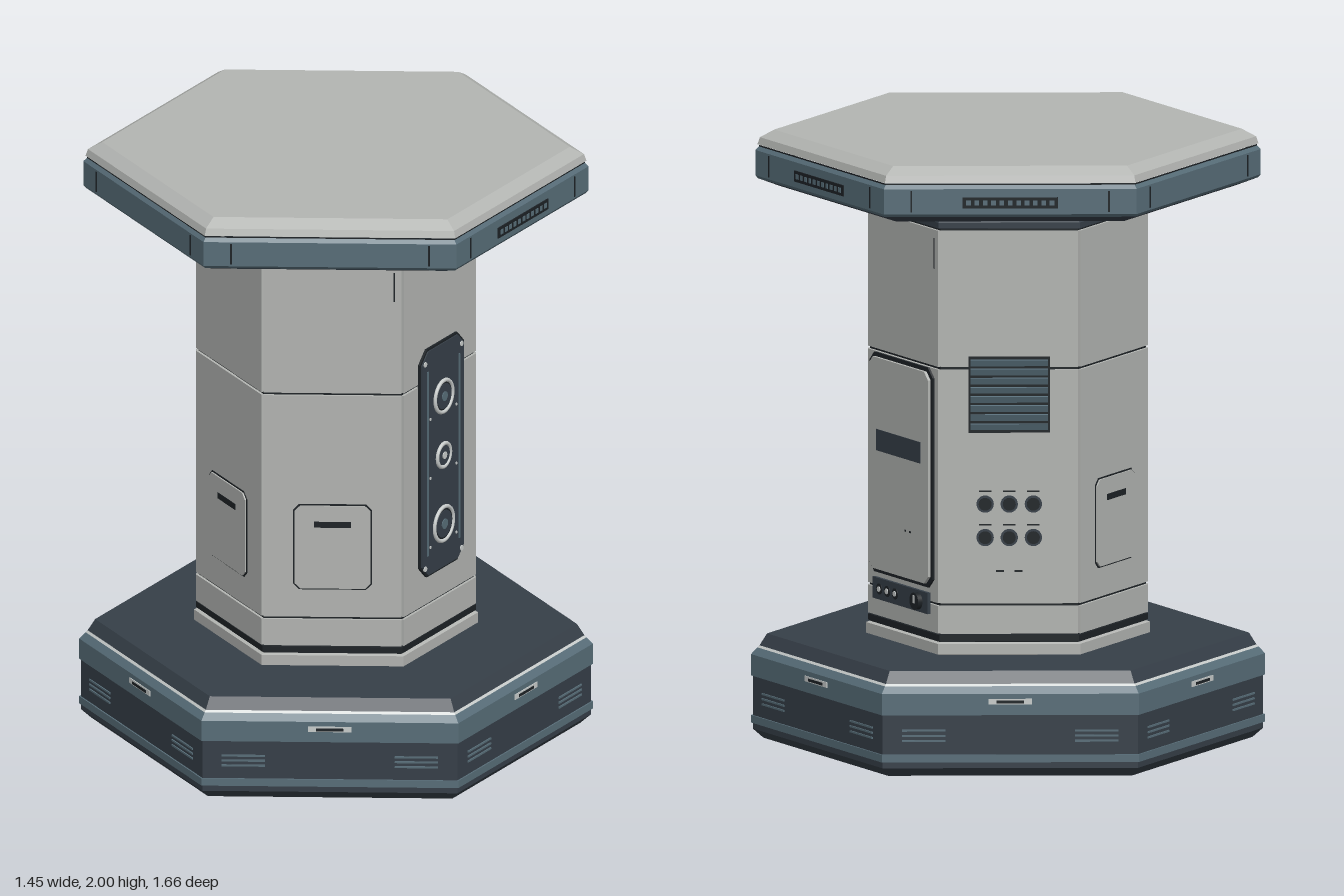
import * as THREE from 'three';

const mat = (name, color) => {
  const m = new THREE.MeshStandardMaterial({ color });
  m.name = name;
  return m;
};

export function createModel() {
  const root = new THREE.Group();
  root.name = 'hexagonalPedestal';
  const light = mat('pale grey', 0xb3b5b2);
  const slate = mat('slate blue', 0x586e79);
  const dark = mat('dark slate', 0x363f48);
  const black = mat('near black', 0x1d2226);
  const silver = mat('silver', 0xc9cdcc);

  const add = (parent, name, geo, material, x = 0, y = 0, z = 0) => {
    const m = new THREE.Mesh(geo, material);
    m.name = name;
    m.position.set(x, y, z);
    parent.add(m);
    return m;
  };

  // Six-sided ring from [apothem, y] points, bottom to top, with crisp edges
  const hex = (name, material, pts) => {
    const k = 1 / Math.cos(Math.PI / 6);
    const geo = new THREE.LatheGeometry(pts.map(([a, y]) => new THREE.Vector2(a * k, y)), 6).toNonIndexed();
    geo.computeVertexNormals();
    return add(root, name, geo, material);
  };

  // Group on one side: local x runs along the face, local z points outwards
  const side = (name, degrees, apothem) => {
    const pivot = new THREE.Group();
    pivot.name = name;
    pivot.rotation.y = THREE.MathUtils.degToRad(degrees);
    const g = new THREE.Group();
    g.name = name + 'Surface';
    g.position.z = apothem;
    pivot.add(g);
    root.add(pivot);
    return g;
  };

  // Box sitting on a face, from depth z to z + d
  const box = (p, name, material, x, y, w, h, d, z = 0) =>
    add(p, name, new THREE.BoxGeometry(w, h, d), material, x, y, z + d / 2);

  // Plate with cut corners
  const plate = (p, name, material, y, w, h, cut, d, z = 0) => {
    const a = w / 2, b = h / 2;
    const s = new THREE.Shape([[-a + cut, -b], [a - cut, -b], [a, -b + cut], [a, b - cut],
      [a - cut, b], [-a + cut, b], [-a, b - cut], [-a, -b + cut]].map(q => new THREE.Vector2(...q)));
    return add(p, name, new THREE.ExtrudeGeometry(s, { depth: d, bevelEnabled: false }), material, 0, y, z);
  };

  // Round knob or disc facing outwards
  const disc = (p, name, material, x, y, r, d, z = 0) => {
    const m = add(p, name, new THREE.CylinderGeometry(r, r, d, 24), material, x, y, z + d / 2);
    m.rotation.x = Math.PI / 2;
    return m;
  };

  // Base
  hex('baseSkirt', dark, [[0, 0], [0.685, 0], [0.715, 0.03], [0.715, 0.05]]);
  hex('baseLowerBand', slate, [[0.714, 0.05], [0.72, 0.05], [0.72, 0.075], [0.714, 0.075]]);
  hex('basePanel', dark, [[0.715, 0.075], [0.715, 0.205]]);
  hex('baseUpperBand', slate, [[0.714, 0.205], [0.72, 0.205], [0.72, 0.275], [0.702, 0.297]]);
  hex('baseTrim', silver, [[0.702, 0.297], [0.696, 0.304]]);
  hex('baseTop', dark, [[0.696, 0.304], [0.675, 0.343], [0, 0.343]]);

  // Column core and collars
  hex('columnFoot', light, [[0.38, 0.34], [0.398, 0.345], [0.398, 0.38], [0.38, 0.386]]);
  hex('footSeal', black, [[0.38, 0.385], [0.392, 0.388], [0.392, 0.408], [0.38, 0.412]]);
  hex('columnCore', black, [[0.386, 0.34], [0.386, 1.81]]);
  hex('neckCollar', dark, [[0.38, 1.742], [0.396, 1.746], [0.396, 1.765], [0.39, 1.77], [0.39, 1.81]]);

  // Table top
  hex('tableUnderside', dark, [[0, 1.8], [0.42, 1.8], [0.64, 1.815], [0.7, 1.84]]);
  hex('tableBand', slate, [[0.7, 1.84], [0.708, 1.85], [0.708, 1.933], [0.698, 1.945]]);
  hex('tableGap', black, [[0.698, 1.945], [0.698, 1.95]]);
  hex('tableTop', light, [[0.69, 1.95], [0.702, 1.952], [0.695, 1.975], [0.655, 2], [0, 2]]);

  for (let i = 0; i < 6; i++) {
    const angle = 30 + i * 60;

    // Column cladding with seams
    const col = side('columnSide', angle, 0.385);
    for (const [y0, y1] of [[0.413, 0.504], [0.513, 1.281], [1.29, 1.738]])
      box(col, 'claddingPanel', light, 0, (y0 + y1) / 2, 0.446, y1 - y0, 0.01);

    // Base handle slot and side vents
    const base = side('baseSide', angle, 0.715);
    box(base, 'handlePlate', silver, 0, 0.25, 0.14, 0.018, 0.008);
    box(base, 'handleSlot', black, 0, 0.249, 0.09, 0.009, 0.01);
    for (const s of [-1, 1])
      for (const y of [0.12, 0.137, 0.154])
        box(base, 'ventLine', slate, s * 0.28, y, 0.14, 0.006, 0.004);

    // Table edge seams
    const edge = side('tableSide', angle, 0.706);
    for (const s of [-1, 1]) box(edge, 'edgeSeam', black, s * 0.32, 1.892, 0.006, 0.07, 0.004);

    // Table edge grilles on one flank and the rear
    if (angle >= 90 && angle <= 210) {
      box(edge, 'edgeGrille', black, 0, 1.888, 0.31, 0.036, 0.006);
      for (let j = 0; j < 11; j++)
        box(edge, 'grilleSlot', slate, (j - 5) * 0.027, 1.888, 0.015, 0.016, 0.008);
    }
  }

  // Service hatches
  for (const angle of [30, 270, 330]) {
    const g = side('serviceHatch', angle, 0.394);
    plate(g, 'hatchGasket', black, 0.757, 0.256, 0.296, 0.02, 0.003);
    plate(g, 'hatchCover', light, 0.757, 0.246, 0.286, 0.018, 0.008);
    box(g, 'hatchSlot', black, 0, 0.836, 0.12, 0.02, 0.01);
  }

  // Short marks near the top of the column
  for (const [angle, x] of [[30, 0.2], [330, -0.2], [150, 0.2]])
    box(side('columnMark', angle, 0.394), 'markLine', black, x, 1.66, 0.005, 0.1, 0.003);

  // Speaker panel
  const sp = side('speakerPanel', 90, 0.394);
  plate(sp, 'speakerRim', black, 1.005, 0.272, 0.79, 0.042, 0.009);
  plate(sp, 'speakerPlate', dark, 1.005, 0.258, 0.776, 0.038, 0.013);
  for (const [y, r] of [[1.21, 0.06], [1.005, 0.046], [0.767, 0.064]]) {
    disc(sp, 'speakerCone', black, 0, y, r - 0.004, 0.004, 0.012);
    add(sp, 'speakerRing', new THREE.TorusGeometry(r - 0.006, 0.007, 8, 32), silver, 0, y, 0.015);
    disc(sp, 'speakerDish', dark, 0, y, r * 0.72, 0.006, 0.012);
    disc(sp, 'speakerCentre', r < 0.05 ? silver : slate, 0, y, r * 0.27, 0.009, 0.012);
  }
  for (const s of [-1, 1]) {
    box(sp, 'speakerSideBar', slate, s * 0.097, 1.005, 0.007, 0.64, 0.005, 0.011);
    for (const y of [0.645, 1.355]) disc(sp, 'cornerScrew', silver, s * 0.112, y, 0.009, 0.005, 0.011);
    for (const y of [0.71, 0.95, 1.155]) disc(sp, 'innerScrew', silver, s * 0.08, y, 0.005, 0.004, 0.011);
  }

  // Access door with window and control strip
  const door = side('accessDoor', 150, 0.394);
  plate(door, 'doorGasket', black, 0.918, 0.402, 0.722, 0.03, 0.008);
  plate(door, 'doorLeaf', light, 0.918, 0.376, 0.696, 0.025, 0.018);
  box(door, 'doorWindow', dark, 0, 0.996, 0.28, 0.07, 0.004, 0.016);
  for (const x of [0.045, 0.075]) box(door, 'doorTick', black, x, 0.725, 0.01, 0.006, 0.002, 0.017);
  box(door, 'controlStrip', dark, 0, 0.505, 0.35, 0.07, 0.012);
  for (const x of [-0.13, -0.08, -0.03]) {
    disc(door, 'buttonRim', black, x, 0.505, 0.018, 0.003, 0.011);
    disc(door, 'button', silver, x, 0.505, 0.009, 0.006, 0.011);
  }
  disc(door, 'controlKnob', black, 0.115, 0.505, 0.028, 0.02, 0.008);
  box(door, 'knobPointer', silver, 0.115, 0.512, 0.008, 0.026, 0.004, 0.026);

  // Rear louvre and sockets
  const rear = side('rearServices', 210, 0.394);
  box(rear, 'louvreFrame', black, 0, 1.2, 0.264, 0.25, 0.006);
  for (let j = 0; j < 8; j++) {
    const slat = box(rear, 'louvreSlat', slate, 0, 1.095 + j * 0.03, 0.25, 0.022, 0.006, 0.004);
    slat.rotation.x = 0.35;
  }
  for (const y of [0.84, 0.73])
    for (const x of [-0.078, 0, 0.078]) {
      disc(rear, 'socketRim', dark, x, y, 0.028, 0.006);
      disc(rear, 'socketHole', black, x, y, 0.021, 0.008);
      box(rear, 'socketMark', black, x, y + 0.042, 0.04, 0.005, 0.003);
    }
  for (const x of [-0.03, 0.03]) box(rear, 'rearTick', black, x, 0.62, 0.025, 0.006, 0.003);

  return root;
}
